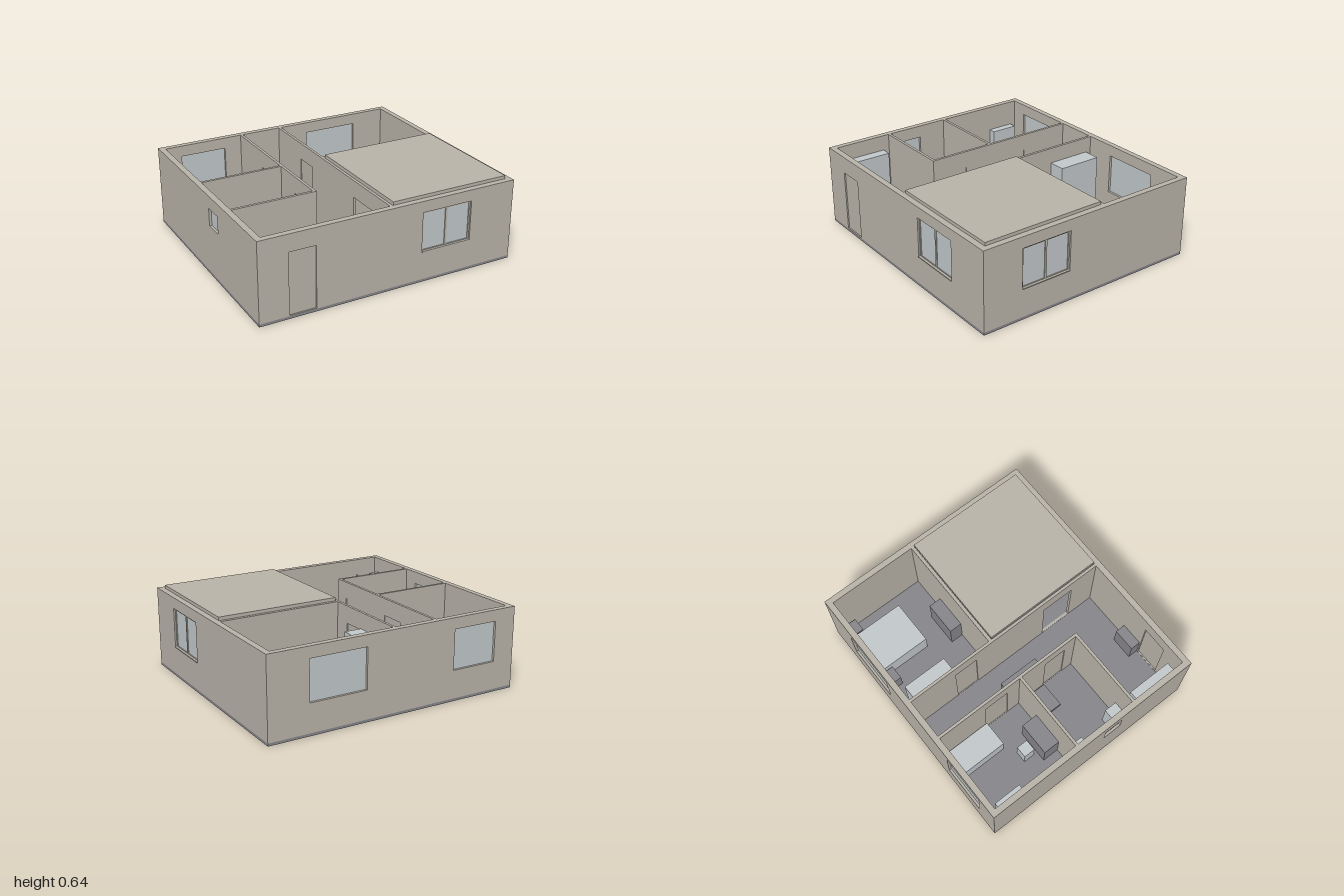
import * as THREE from 'three';

export function createModel() {
  const model = new THREE.Group();
  model.name = 'house';
  const mat = (name, color) => {
    const m = new THREE.MeshStandardMaterial({ color });
    m.name = name;
    return m;
  };
  const plaster = mat('plaster', 0xb9b3a9);
  const slate = mat('slate', 0x87858b);
  const pale = mat('paleGlass', 0xc2c8cb);

  const BASE = 0.02, TOP = 0.62, OUTER = 0.045, INNER = 0.021;

  const add = (name, geometry, material) => {
    const mesh = new THREE.Mesh(geometry, material);
    mesh.name = name;
    model.add(mesh);
    return mesh;
  };
  // Box given by its limits
  const box = (name, material, x0, x1, y0, y1, z0, z1) =>
    add(name, new THREE.BoxGeometry(x1 - x0, y1 - y0, z1 - z0)
      .translate((x0 + x1) / 2, (y0 + y1) / 2, (z0 + z1) / 2), material);

  // Box in wall coordinates: u along the wall, w across it
  const wallBox = (name, material, dir, u0, u1, y0, y1, w0, w1) => dir === 'x'
    ? box(name, material, u0, u1, y0, y1, w0, w1)
    : box(name, material, w0, w1, y0, y1, u0, u1);

  // Wall along x or z with rectangular openings [u0, u1, y0, y1]
  function wall(name, dir, at, thick, a, b, openings = []) {
    const shape = new THREE.Shape([
      new THREE.Vector2(a, BASE), new THREE.Vector2(b, BASE),
      new THREE.Vector2(b, TOP), new THREE.Vector2(a, TOP)]);
    for (const [u0, u1, y0, y1] of openings) {
      shape.holes.push(new THREE.Path([
        new THREE.Vector2(u0, y0), new THREE.Vector2(u0, y1),
        new THREE.Vector2(u1, y1), new THREE.Vector2(u1, y0)]));
    }
    const geo = new THREE.ExtrudeGeometry(shape, { depth: thick, bevelEnabled: false });
    if (dir === 'z') geo.rotateY(-Math.PI / 2).translate(at + thick, 0, 0);
    else geo.translate(0, 0, at);
    add(name, geo, plaster);
  }
  const door = (u0, u1) => [u0, u1, 0.024, 0.49];
  const leaf = (name, dir, [u0, u1, y0, y1], mid, t) =>
    wallBox(name, plaster, dir, u0, u1, y0, y1, mid - t / 2, mid + t / 2);
  const pane = (name, dir, [u0, u1, y0, y1], mid) =>
    wallBox(name, pale, dir, u0, u1, y0, y1, mid - 0.004, mid + 0.004);

  // Two-pane window with frame, mullion and sill
  function framedWindow(name, dir, [u0, u1, y0, y1], mid) {
    const f = 0.012, c = (u0 + u1) / 2, h = 0.01;
    pane(name + 'Glass', dir, [u0 + f, u1 - f, y0 + f, y1 - f], mid);
    const bars = [[u0, u0 + f, y0, y1], [u1 - f, u1, y0, y1], [c - 0.008, c + 0.008, y0 + f, y1 - f],
      [u0 + f, u1 - f, y0, y0 + f], [u0 + f, u1 - f, y1 - f, y1]];
    for (const [a, b, lo, hi] of bars) {
      wallBox(name + 'Frame', plaster, dir, a, b, lo, hi, mid - h, mid + h);
    }
    wallBox(name + 'Sill', plaster, dir, u0, u1, y0, y0 + 0.008, mid, mid + 0.028);
  }

  // Floor slab and the panel over the front room
  box('floorSlab', slate, -1, 1, 0, BASE, -0.89, 0.89);
  box('roofPanel', plaster, 0.025, 0.955, TOP - 0.004, 0.645, -0.113, 0.845);

  // Outer walls
  const frontDoor = door(-0.78, -0.58);
  const frontWin = [0.24, 0.64, 0.232, 0.535], sideWin = [0.18, 0.58, 0.232, 0.535];
  const backWins = [[0.25, 0.69, 0.232, 0.535], [-0.83, -0.47, 0.232, 0.535]];
  const bathWin = [0.105, 0.255, 0.39, 0.525];
  const zi = 0.89 - OUTER, xi = 1 - OUTER;
  wall('frontWall', 'x', zi, OUTER, -1, 1, [frontDoor, frontWin]);
  wall('backWall', 'x', -0.89, OUTER, -1, 1, backWins);
  wall('leftWall', 'z', xi, OUTER, -zi, zi, [sideWin]);
  wall('rightWall', 'z', -1, OUTER, -zi, zi, [bathWin]);

  leaf('frontDoor', 'x', frontDoor, 0.868, 0.024);
  framedWindow('frontWindow', 'x', frontWin, 0.868);
  framedWindow('sideWindow', 'z', sideWin, 0.978);
  backWins.forEach((w) => pane('backWindow', 'x', w, -0.868));
  pane('bathWindow', 'z', bathWin, -0.978);

  // Inner walls and doors
  const bedDoor = door(-0.46, -0.27), smallBedDoor = door(-0.45, -0.25), bathDoor = door(0.1, 0.28);
  wall('middleWall', 'z', 0, INNER, -zi, zi, [bedDoor, door(0.36, 0.62)]);
  wall('hallWall', 'z', -0.335, INNER, -zi, 0.395, [smallBedDoor, bathDoor]);
  wall('bedroomWall', 'x', -0.14, INNER, -xi, -0.335);
  wall('bathWall', 'x', 0.374, INNER, -xi, -0.335);
  wall('largeBedroomWall', 'x', -0.14, 0.025, INNER, xi);
  leaf('bedroomDoor', 'z', bedDoor, 0.0105, 0.009);
  leaf('smallBedroomDoor', 'z', smallBedDoor, -0.3245, 0.009);
  leaf('bathDoor', 'z', bathDoor, -0.3245, 0.009);

  // Furniture: name, material, x0, x1, height, z0, z1
  const furniture = [
    ['smallWardrobe', pale, -0.955, -0.895, 0.42, -0.8, -0.585],
    ['singleBed', pale, -0.545, -0.345, 0.17, -0.85, -0.45],
    ['stool', pale, -0.72, -0.63, 0.17, -0.39, -0.3],
    ['desk', slate, -0.8, -0.54, 0.25, -0.27, -0.14],
    ['wardrobe', pale, 0.022, 0.155, 0.5, -0.8, -0.45],
    ['doubleBed', pale, 0.465, 0.82, 0.18, -0.845, -0.41],
    ['nightstand', slate, 0.34, 0.45, 0.16, -0.835, -0.74],
    ['nightstand', slate, 0.835, 0.94, 0.16, -0.835, -0.74],
    ['dresser', slate, 0.375, 0.64, 0.25, -0.24, -0.14],
    ['toilet', pale, -0.945, -0.865, 0.2, -0.1, 0.025],
    ['washstand', pale, -0.955, -0.83, 0.27, 0.275, 0.374],
    ['showerTray', slate, -0.545, -0.345, 0.05, -0.1, 0.1],
    ['hallCabinet', slate, -0.314, -0.235, 0.43, -0.23, 0.085],
    ['tallCupboard', pale, -0.955, -0.875, 0.5, 0.445, 0.8],
    ['shoeBench', slate, -0.57, -0.39, 0.2, 0.765, 0.845],
  ];
  for (const [name, m, x0, x1, h, z0, z1] of furniture) box(name, m, x0, x1, BASE, h, z0, z1);

  return model;
}
